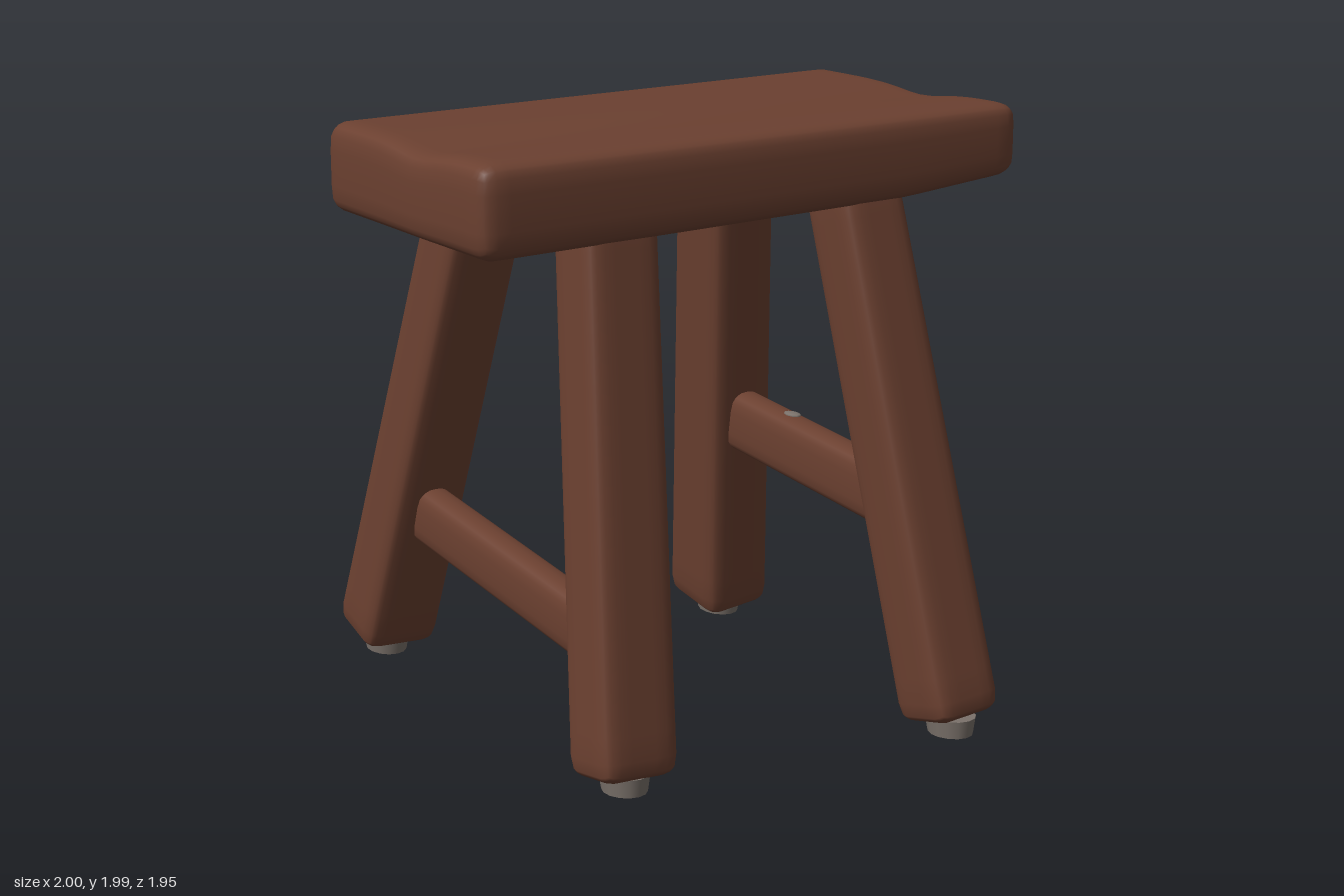
import * as THREE from 'three';
import { mergeVertices } from 'three/addons/utils/BufferGeometryUtils.js';

const wood = new THREE.MeshStandardMaterial({ color: 0x6b4030 });
wood.name = 'brown wood';
const pad = new THREE.MeshStandardMaterial({ color: 0x7b726b });
pad.name = 'grey pad';

// Soft-edged block: grid packed towards the edges, corners rounded by r, then bent by warp(p)
function softBlock(w, h, d, r, [sx, sy, sz], warp) {
  let g = new THREE.BoxGeometry(w, h, d, sx, sy, sz);
  g.deleteAttribute('uv');
  g.deleteAttribute('normal');
  const half = new THREE.Vector3(w, h, d).multiplyScalar(0.5);
  const inner = half.clone().subScalar(r);
  const p = new THREE.Vector3(), c = new THREE.Vector3();
  const pos = g.attributes.position;
  for (let i = 0; i < pos.count; i++) {
    p.fromBufferAttribute(pos, i);
    for (const a of ['x', 'y', 'z']) p[a] = Math.sin((p[a] / half[a]) * Math.PI / 2) * half[a];
    c.copy(p).clamp(inner.clone().negate(), inner);
    p.sub(c).setLength(r).add(c);
    if (warp) warp(p);
    pos.setXYZ(i, p.x, p.y, p.z);
  }
  g = mergeVertices(g, 1e-4);
  g.computeVertexNormals();
  return g;
}

function addMesh(group, name, geometry, material) {
  const mesh = new THREE.Mesh(geometry, material);
  mesh.name = name;
  group.add(mesh);
  return mesh;
}

// Place a block so that its given axis runs from a to b
function span(mesh, a, b, axis) {
  mesh.position.copy(a).add(b).multiplyScalar(0.5);
  mesh.quaternion.setFromUnitVectors(axis, b.clone().sub(a).normalize());
}

export function createModel() {
  const model = new THREE.Group();
  model.name = 'stool';
  const V = (x, y, z) => new THREE.Vector3(x, y, z);

  // Seat: slightly skewed slab with a shallow hollow on top
  const h = 0.28;
  addMesh(model, 'seat', softBlock(2, h, 1.04, 0.065, [28, 8, 24], p => {
    const { x, z } = p;
    const t = p.y / h + 0.5;
    const top = 1.985 + 0.012 * x - 0.025 * Math.exp(-(((z - 0.08) / 0.16) ** 2)) * (0.4 + 0.6 * x * x);
    const bottom = 1.705 + 0.025 * x + 0.07 * Math.max(0, x - 0.55);
    p.y = bottom + (top - bottom) * t;
    p.x = x + (x < 0 ? -0.025 * x * (0.5 - z) : -0.01 * x * (0.5 - z));
    p.z = z + 0.065 + 0.02 * x * (z > 0 ? 1 : 0.7);
  }), wood);

  // Splayed legs: foot centre, top centre, width and depth
  const legs = [
    ['frontLeftLeg', V(0.55, 0.065, 0.865), V(0.445, 1.8, 0.415), 0.255, 0.245],
    ['frontRightLeg', V(-0.592, 0.055, 0.675), V(-0.478, 1.8, 0.405), 0.275, 0.235],
    ['backLeftLeg', V(0.628, 0.06, -0.56), V(0.44, 1.8, -0.265), 0.255, 0.285],
    ['backRightLeg', V(-0.588, 0.075, -0.87), V(-0.49, 1.8, -0.295), 0.275, 0.245],
  ];
  for (const [name, foot, top, w, d] of legs) {
    const length = foot.distanceTo(top);
    const geo = softBlock(w, length, d, 0.055, [10, 16, 10], p => {
      const s = 1 - 0.06 * (p.y / length);
      p.x *= s;
      p.z *= s;
    });
    span(addMesh(model, name, geo, wood), foot, top, V(0, 1, 0));

    // Worn grey pad under the foot
    const disc = addMesh(model, name + 'Pad', new THREE.CylinderGeometry(0.085, 0.075, 0.06, 14), pad);
    disc.scale.set(0.9, 1, 1.1);
    disc.position.set(foot.x, 0.04, foot.z);
    disc.rotation.x = -0.04 * Math.sign(foot.z);
  }

  // Side stretchers between front and back legs
  const stretchers = [
    ['leftStretcher', V(0.51, 0.735, 0.68), V(0.55, 0.808, -0.42), 0.215],
    ['rightStretcher', V(-0.56, 0.43, 0.62), V(-0.555, 0.58, -0.68), 0.205],
  ];
  for (const [name, a, b, height] of stretchers) {
    const geo = softBlock(0.125, height, a.distanceTo(b), 0.055, [8, 8, 14]);
    span(addMesh(model, name, geo, wood), a, b, V(0, 0, -1));
  }

  // Small grey chip on the left stretcher
  const chip = addMesh(model, 'chip', new THREE.SphereGeometry(1, 10, 6), pad);
  chip.scale.set(0.025, 0.008, 0.04);
  chip.position.set(0.54, 0.886, 0);

  return model;
}
